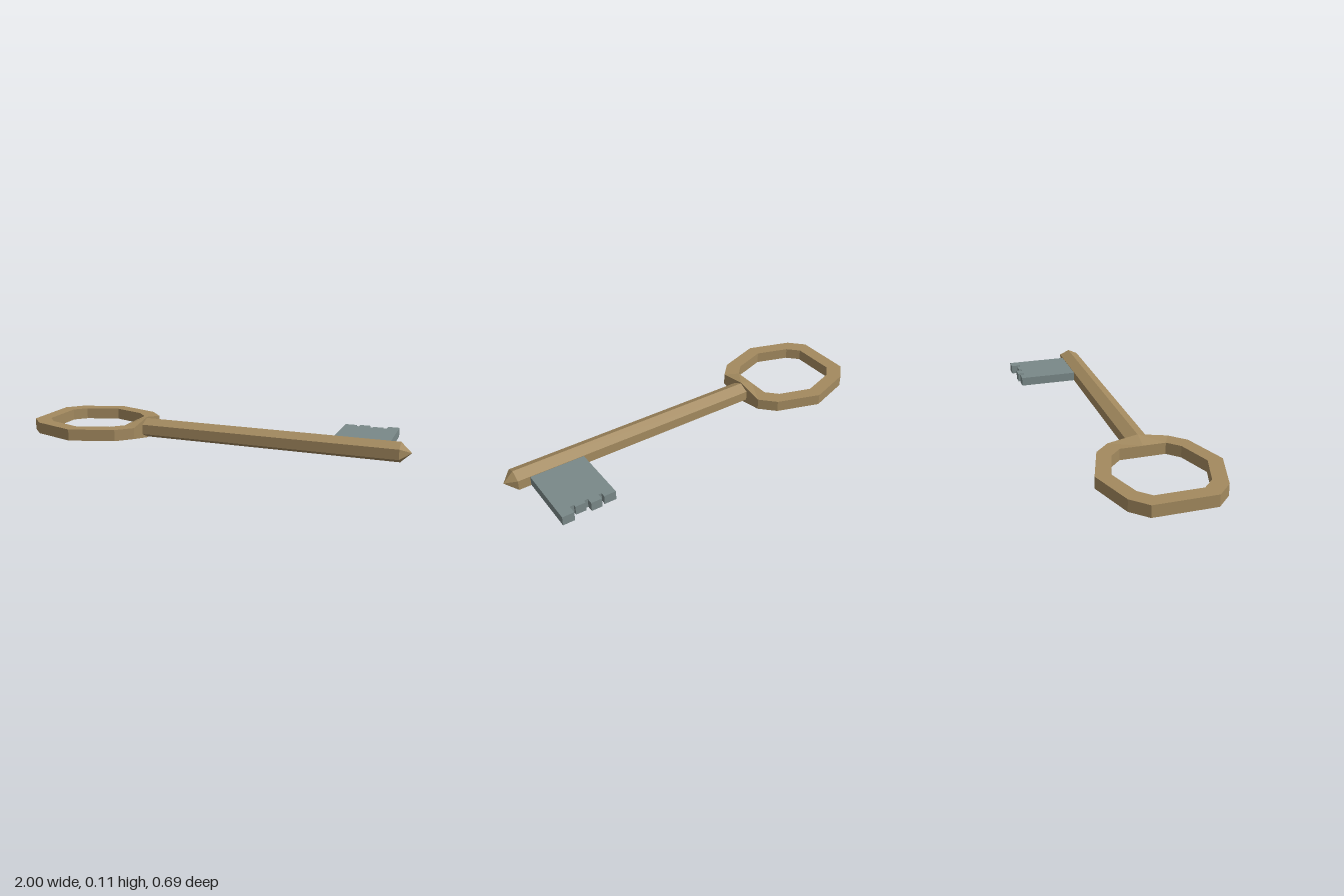
import * as THREE from 'three';

const MID_Y = 0.0585, MID_Z = 0.041;
const brass = new THREE.MeshStandardMaterial({ color: 0xa38a5f, flatShading: true });
const steel = new THREE.MeshStandardMaterial({ color: 0x798888, flatShading: true });

function addMesh(group, name, geometry, material) {
  const mesh = new THREE.Mesh(geometry, material);
  mesh.name = name;
  group.add(mesh);
  return mesh;
}

// Faceted ring: each entry is [outer x, outer z, inner x, inner z, outer half height],
// measured from the ring centre and going clockwise as seen from above.
function ringGeometry() {
  const h = 0.0295;
  const loop = [
    [0, -0.303, 0, -0.228, h],
    [0.228, -0.228, 0.172, -0.172, h],
    [0.302, -0.152, 0.228, -0.115, h],
    [0.302, 0, 0.228, 0, 0.0565], // raised collar where the shaft joins
    [0.302, 0.152, 0.228, 0.115, h],
    [0.228, 0.228, 0.172, 0.172, h],
    [0, 0.303, 0, 0.228, h],
    [-0.228, 0.228, -0.172, 0.172, h],
    [-0.302, 0.152, -0.228, 0.115, h],
    [-0.302, -0.152, -0.228, -0.115, h],
    [-0.228, -0.228, -0.172, -0.172, h],
  ];
  const positions = [];
  const quad = (a, b, c, d) => [a, b, c, a, c, d].forEach((p) => positions.push(...p));
  const corners = ([ox, oz, ix, iz, oh]) => ({
    outTop: [ox, oh, oz], outBottom: [ox, -oh, oz],
    inTop: [ix, h, iz], inBottom: [ix, -h, iz],
  });
  loop.forEach((point, i) => {
    const a = corners(point);
    const b = corners(loop[(i + 1) % loop.length]);
    quad(a.outTop, a.inTop, b.inTop, b.outTop);
    quad(a.outBottom, b.outBottom, b.inBottom, a.inBottom);
    quad(b.outTop, b.outBottom, a.outBottom, a.outTop);
    quad(a.inTop, a.inBottom, b.inBottom, b.inTop);
  });
  const geometry = new THREE.BufferGeometry();
  geometry.setAttribute('position', new THREE.Float32BufferAttribute(positions, 3));
  geometry.computeVertexNormals();
  return geometry;
}

// Six-sided bar along x with a ridge on top and bottom
function hexBar(tipRadius, radius, x0, x1, open) {
  const geometry = new THREE.CylinderGeometry(tipRadius, radius, x1 - x0, 6, 1, open, Math.PI / 2);
  geometry.rotateZ(-Math.PI / 2);
  geometry.scale(1, 1, 1.21);
  geometry.translate((x0 + x1) / 2, MID_Y, MID_Z);
  return geometry;
}

// Notched plate: outline in x and distance towards the back
function bitGeometry() {
  const outline = [
    [0.603, -0.03], [0.885, -0.03], [0.885, 0.344], [0.825, 0.344],
    [0.825, 0.3], [0.805, 0.3], [0.805, 0.315], [0.753, 0.315],
    [0.753, 0.3], [0.735, 0.3], [0.735, 0.333], [0.68, 0.333],
    [0.68, 0.3], [0.664, 0.3], [0.664, 0.325], [0.603, 0.325],
  ];
  const shape = new THREE.Shape(outline.map(([x, y]) => new THREE.Vector2(x, y)));
  const geometry = new THREE.ExtrudeGeometry(shape, { depth: 0.047, bevelEnabled: false });
  geometry.rotateX(-Math.PI / 2);
  geometry.translate(0, 0.035, 0);
  return geometry;
}

export function createModel() {
  const key = new THREE.Group();
  key.name = 'key';
  addMesh(key, 'bowRing', ringGeometry(), brass).position.set(-0.698, MID_Y, MID_Z - 0.002);
  addMesh(key, 'shaft', hexBar(0.051, 0.051, -0.4, 0.947, false), brass);
  addMesh(key, 'shaftTip', hexBar(0, 0.051, 0.947, 1, true), brass);
  addMesh(key, 'bit', bitGeometry(), steel);
  return key;
}
